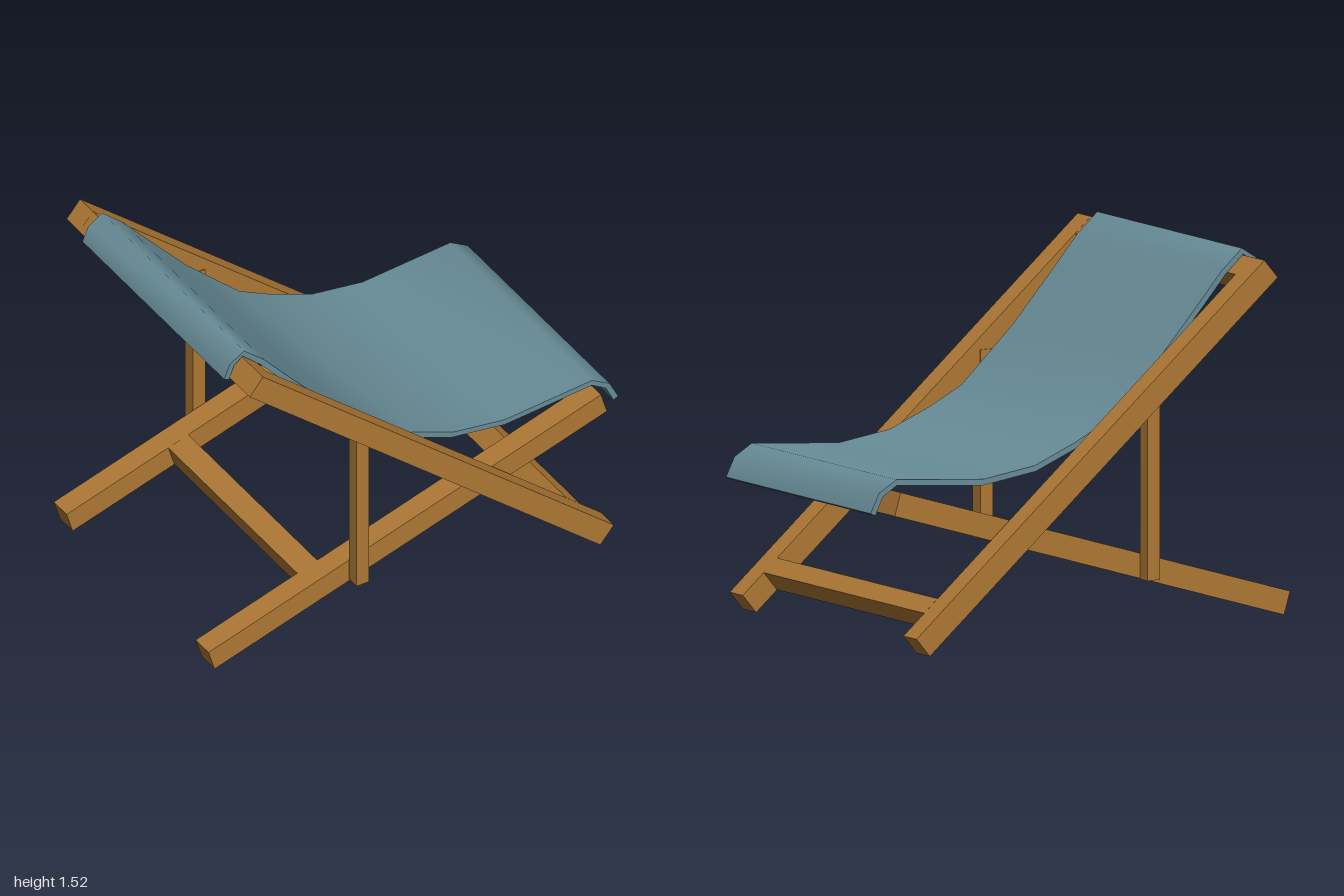
import * as THREE from 'three';
import { toCreasedNormals } from 'three/addons/utils/BufferGeometryUtils.js';

export function createModel() {
  const group = new THREE.Group();
  const wood = new THREE.MeshStandardMaterial({ color: 0xae7835 });
  wood.name = 'wood';
  const canvas = new THREE.MeshStandardMaterial({ color: 0x688d98 });
  canvas.name = 'canvas';

  // A timber lying in the x-y plane, tilted about z
  function timber(name, length, thick, width, x, y, z, angle) {
    const mesh = new THREE.Mesh(new THREE.BoxGeometry(length, thick, width), wood);
    mesh.name = name;
    mesh.position.set(x, y, z);
    mesh.rotation.z = angle;
    group.add(mesh);
  }

  // A rail between two end points
  function rail(name, [x0, y0], [x1, y1], z) {
    const length = Math.hypot(x1 - x0, y1 - y0);
    timber(name, length, 0.1, 0.1, (x0 + x1) / 2, (y0 + y1) / 2, z, Math.atan2(y1 - y0, x1 - x0));
  }

  const backTop = [-0.838, 1.461], backFoot = [0.843, 0.042];
  const seatBack = [-0.985, 0.053], seatFront = [0.896, 0.624];
  const backAngle = Math.atan2(backFoot[1] - backTop[1], backFoot[0] - backTop[0]);
  const seatAngle = Math.atan2(seatFront[1] - seatBack[1], seatFront[0] - seatBack[0]);

  // Two crossing side frames and the props that hold them apart
  for (const [side, s] of [['left', -1], ['right', 1]]) {
    rail(side + 'BackRail', backTop, backFoot, s * 0.66);
    rail(side + 'SeatRail', seatBack, seatFront, s * 0.55);
    timber(side + 'Prop', 0.06, 0.78, 0.06, -0.3, 0.605, s * 0.635, 0);
  }

  // Crossbars
  timber('headCrossbar', 0.1, 0.1, 1.22, -0.8, 1.428, 0, backAngle);
  timber('footCrossbar', 0.085, 0.1, 1.22, 0.71, 0.155, 0, backAngle);
  timber('seatFrontCrossbar', 0.1, 0.1, 1.0, 0.848, 0.609, 0, seatAngle);
  timber('seatRearCrossbar', 0.1, 0.1, 1.0, -0.45, 0.215, 0, seatAngle);

  // Sling: centre line of the cloth, thickened to both sides
  const path = [
    [-0.882, 1.415], [-0.856, 1.478], [-0.802, 1.516], [-0.71, 1.435], [-0.6, 1.31],
    [-0.4, 1.09], [-0.15, 0.86], [0.0, 0.785], [0.2, 0.705], [0.45, 0.67],
    [0.87, 0.705], [0.945, 0.66], [0.984, 0.582],
  ].map(([x, y]) => new THREE.Vector2(x, y));
  const half = 0.0125;
  const upper = [], lower = [];
  path.forEach((p, i) => {
    const a = path[Math.max(i - 1, 0)], b = path[Math.min(i + 1, path.length - 1)];
    const dir = b.clone().sub(a).normalize();
    const normal = new THREE.Vector2(-dir.y, dir.x).multiplyScalar(half);
    upper.push(p.clone().add(normal));
    lower.unshift(p.clone().sub(normal));
  });
  const cloth = new THREE.ExtrudeGeometry(new THREE.Shape([...upper, ...lower]), {
    depth: 1.1, bevelEnabled: false,
  });
  cloth.translate(0, 0, -0.55);
  const sling = new THREE.Mesh(toCreasedNormals(cloth, 1.45), canvas);
  sling.name = 'slingSeat';
  group.add(sling);

  return group;
}
